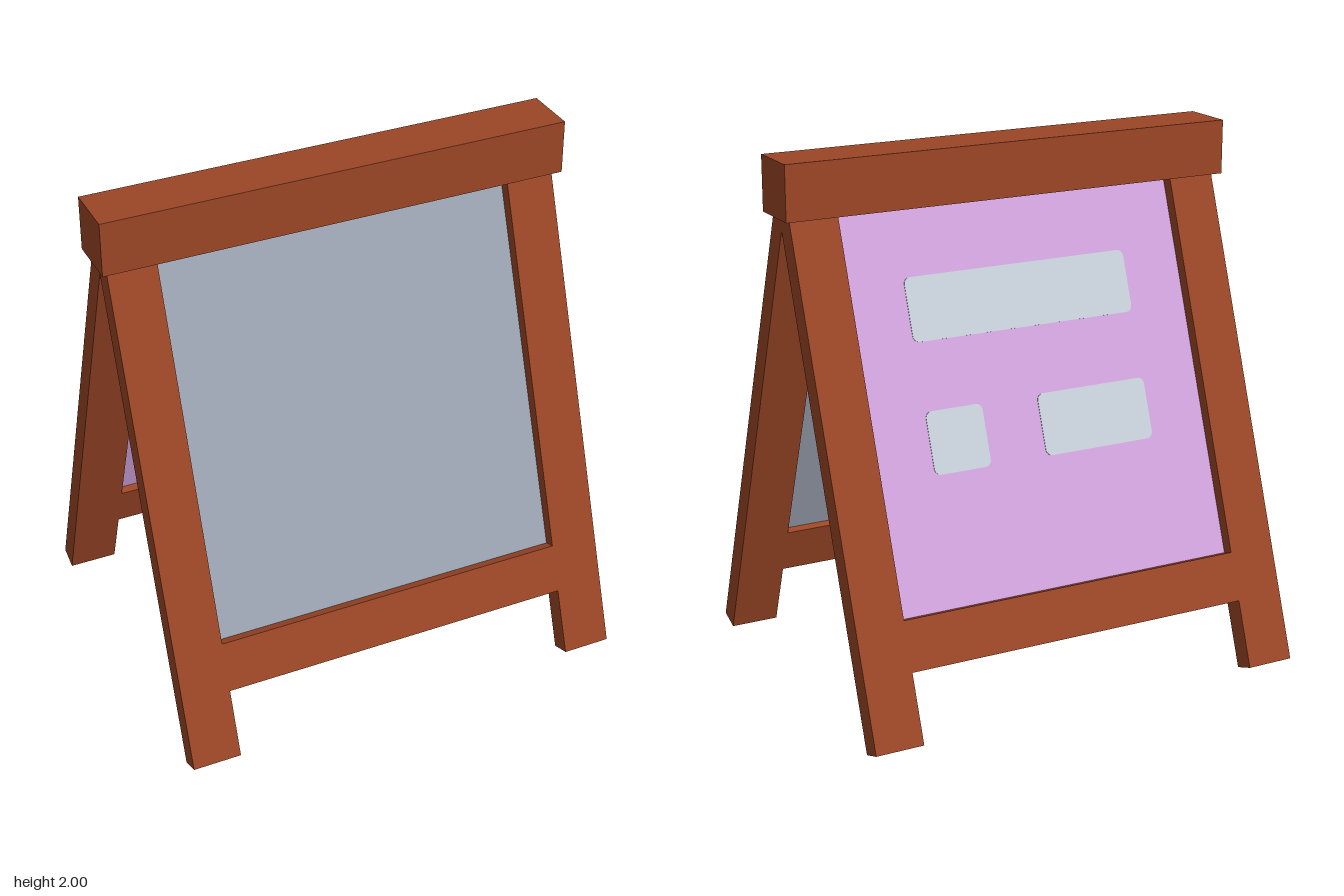
import * as THREE from 'three';

const mat = (name, color) => {
  const m = new THREE.MeshStandardMaterial({ color });
  m.name = name;
  return m;
};

const TILT = THREE.MathUtils.degToRad(20);
const DEPTH = 0.083; // frame thickness
const LENGTH = 2.0; // leg length, the upper end hides inside the top beam
const INNER = 0.685;
const OUTER = 0.87;
const RAIL_BOTTOM = 0.257;
const RAIL_TOP = 0.442;

export function createModel() {
  const wood = mat('wood', 0x9c4626);
  const slate = mat('slate grey', 0x9ca4b2);
  const purple = mat('purple', 0xd2a4de);
  const pale = mat('pale grey', 0xc8d0da);

  // Box given by its min and max corners
  const box = (name, [x0, y0, z0], [x1, y1, z1], material) => {
    const g = new THREE.BoxGeometry(x1 - x0, y1 - y0, z1 - z0);
    g.translate((x0 + x1) / 2, (y0 + y1) / 2, (z0 + z1) / 2);
    const m = new THREE.Mesh(g, material);
    m.name = name;
    return m;
  };

  // Thin rounded rectangle lying on a panel
  const card = (name, x0, x1, y0, y1, z0, z1) => {
    const r = 0.025;
    const s = new THREE.Shape();
    s.moveTo(x0 + r, y0);
    s.lineTo(x1 - r, y0);
    s.absarc(x1 - r, y0 + r, r, -Math.PI / 2, 0);
    s.absarc(x1 - r, y1 - r, r, 0, Math.PI / 2);
    s.absarc(x0 + r, y1 - r, r, Math.PI / 2, Math.PI);
    s.absarc(x0 + r, y0 + r, r, Math.PI, Math.PI * 1.5);
    const g = new THREE.ExtrudeGeometry(s, { depth: z1 - z0, bevelEnabled: false, curveSegments: 5 });
    g.translate(0, 0, z0);
    const m = new THREE.Mesh(g, pale);
    m.name = name;
    return m;
  };

  // One leaning frame: two legs, a bottom rail, a recessed panel and its cards
  const makeFrame = (name, panelMaterial, cardFront) => {
    const lean = new THREE.Group();
    lean.rotation.x = -TILT;
    lean.position.z = 0.635;
    const plainLeg = box('leg', [INNER, 0, 0], [OUTER, LENGTH, DEPTH], wood);
    // The sole of this leg is grey
    const greyFootLeg = box('greyFootLeg', [-OUTER, 0, 0], [-INNER, LENGTH, DEPTH],
      [wood, wood, wood, slate, wood, wood]);
    lean.add(
      plainLeg,
      greyFootLeg,
      box('bottomRail', [-INNER, RAIL_BOTTOM, 0], [INNER, RAIL_TOP, DEPTH], wood),
      box('panel', [-INNER, RAIL_TOP, 0.03], [INNER, LENGTH, 0.036], panelMaterial),
      card('wideCard', -0.455, 0.455, 1.4, 1.635, 0.028, cardFront),
      card('smallCard', -0.455, -0.228, 0.92, 1.15, 0.028, cardFront),
      card('mediumCard', 0, 0.455, 0.92, 1.15, 0.028, cardFront)
    );
    const frame = new THREE.Group();
    frame.name = name;
    frame.add(lean);
    return frame;
  };

  const model = new THREE.Group();
  model.name = 'sandwichBoard';

  // Front cards show only on the inner side, back cards on both sides
  const front = makeFrame('frontFrame', slate, 0.033);
  const back = makeFrame('backFrame', purple, 0.038);
  back.rotation.y = Math.PI;

  model.add(front, back, box('topBeam', [-0.895, 1.795, -0.105], [0.895, 2, 0.105], wood));
  return model;
}
